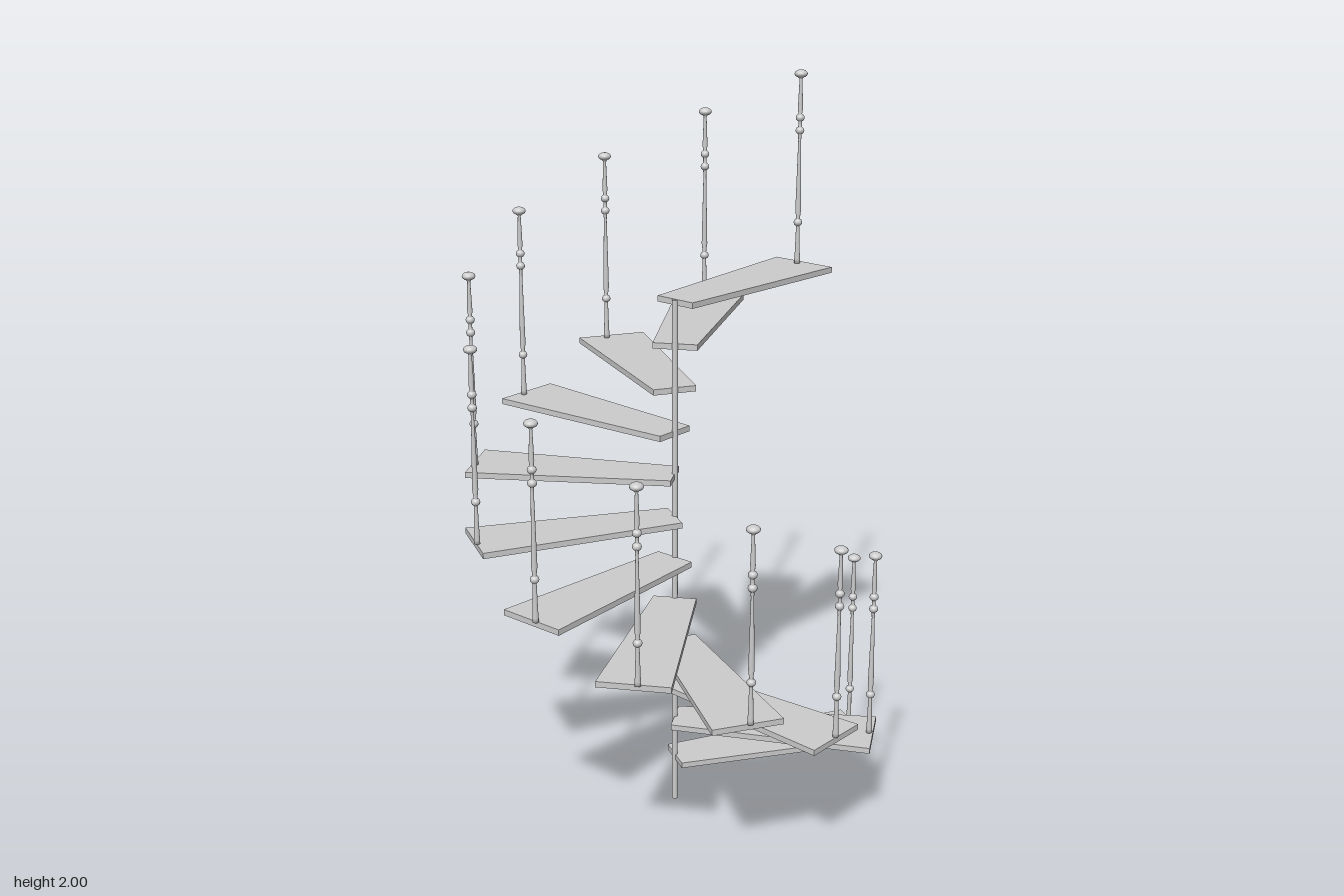
import * as THREE from 'three';

const STEPS = 12;
const RISE = 0.1204;
const FIRST_TOP = 0.14;
const THICK = 0.016;
const AXIS_X = 0.008, AXIS_Z = -0.012;

// Tapered tread, wide at the outer end, running along +x from the axis
function treadGeometry() {
  const shape = new THREE.Shape([
    new THREE.Vector2(0, -0.06),
    new THREE.Vector2(0.557, -0.097),
    new THREE.Vector2(0.557, 0.097),
    new THREE.Vector2(0, 0.06),
  ]);
  const geo = new THREE.ExtrudeGeometry(shape, { depth: THICK, bevelEnabled: false });
  return geo.rotateX(-Math.PI / 2).translate(0, -THICK, 0);
}

// Points of a bead on a turned post, from its lower neck to its upper neck
function bead(y, radius, halfHeight) {
  const points = [];
  for (let i = 0; i <= 8; i++) {
    const a = THREE.MathUtils.lerp(-1.15, 1.15, i / 8);
    points.push(new THREE.Vector2(radius * Math.cos(a), y + halfHeight * Math.sin(a)));
  }
  return points;
}

// Turned baluster: base, shafts, three beads and a flattened knob
function balusterGeometry() {
  const knob = bead(0.525, 0.018, 0.011);
  const profile = [
    new THREE.Vector2(0, 0),
    new THREE.Vector2(0.008, 0),
    new THREE.Vector2(0.008, 0.012),
    new THREE.Vector2(0.007, 0.03),
    ...bead(0.116, 0.012, 0.011),
    new THREE.Vector2(0.008, 0.15),
    new THREE.Vector2(0.004, 0.345),
    ...bead(0.371, 0.012, 0.011),
    ...bead(0.406, 0.012, 0.011),
    new THREE.Vector2(0.007, 0.43),
    new THREE.Vector2(0.004, 0.51),
    ...knob,
    new THREE.Vector2(0, 0.536),
  ];
  return new THREE.LatheGeometry(profile, 20);
}

export function createModel() {
  const group = new THREE.Group();
  group.name = 'spiralStaircase';
  const material = new THREE.MeshStandardMaterial({ color: 0xcccccc });

  // Central pole
  const poleHeight = FIRST_TOP + RISE * (STEPS - 1) - 0.002;
  const pole = new THREE.Mesh(new THREE.CylinderGeometry(0.008, 0.008, poleHeight, 24), material);
  pole.name = 'centralPole';
  pole.position.set(AXIS_X, poleHeight / 2, AXIS_Z);
  group.add(pole);

  // Treads wind from the left side through the front, one baluster on each
  const tread = treadGeometry();
  const baluster = balusterGeometry();
  for (let i = 0; i < STEPS; i++) {
    const angle = (i / STEPS) * Math.PI * 2;
    const top = FIRST_TOP + i * RISE;

    const step = new THREE.Mesh(tread, material);
    step.name = `tread${i + 1}`;
    step.position.set(AXIS_X, top, AXIS_Z);
    step.rotation.y = -angle;
    group.add(step);

    const post = new THREE.Mesh(baluster, material);
    post.name = `baluster${i + 1}`;
    const postAngle = angle - 0.0245;
    post.position.set(0.547 * Math.cos(postAngle), top, 0.547 * Math.sin(postAngle));
    group.add(post);
  }
  return group;
}
